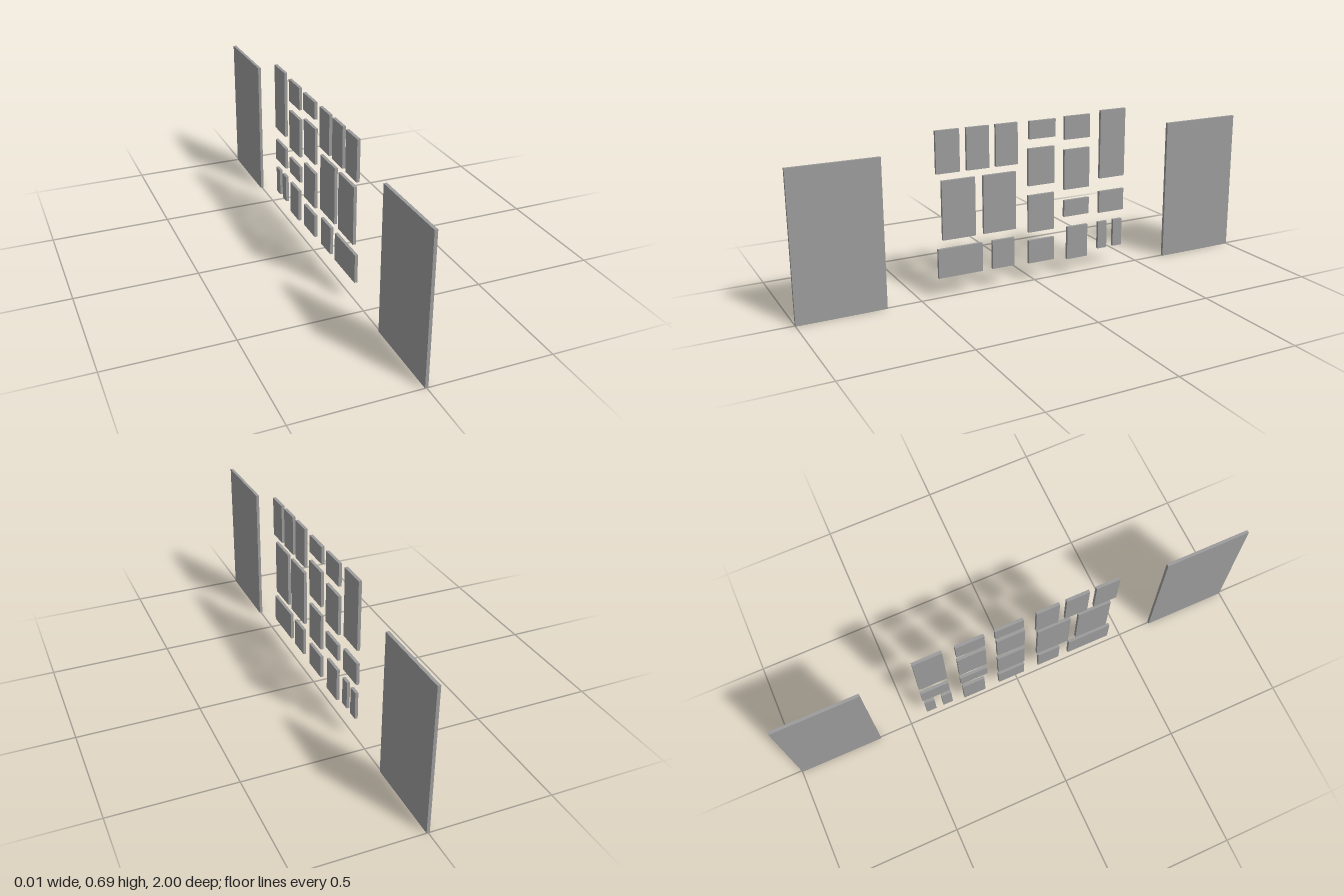
import * as THREE from 'three';

const THICKNESS = 0.0126;

// Each panel: [z min, z max, y min, y max]
const endPanels = [
  [0.643, 1, 0, 0.599],
  [-1, -0.643, 0, 0.599],
];

const clusterColumns = {
  frontColumn: [
    [0.328, 0.427, 0.505, 0.674], [0.203, 0.299, 0.505, 0.674], [0.078, 0.174, 0.505, 0.674],
    [0.265, 0.406, 0.237, 0.476], [0.087, 0.23, 0.237, 0.476],
    [0.237, 0.427, 0.083, 0.202], [0.096, 0.193, 0.083, 0.202],
  ],
  middleColumn: [
    [-0.093, 0.025, 0.599, 0.672], [-0.088, 0.03, 0.407, 0.561],
    [-0.088, 0.03, 0.211, 0.367], [-0.088, 0.03, 0.078, 0.176],
  ],
  innerRearColumn: [
    [-0.254, -0.136, 0.58, 0.676], [-0.254, -0.136, 0.37, 0.538],
    [-0.254, -0.136, 0.254, 0.324], [-0.249, -0.152, 0.066, 0.207],
  ],
  rearColumn: [
    [-0.425, -0.305, 0.397, 0.685], [-0.425, -0.305, 0.247, 0.34],
    [-0.345, -0.302, 0.089, 0.207], [-0.42, -0.377, 0.089, 0.207],
  ],
};

export function createModel() {
  const model = new THREE.Group();
  model.name = 'wallPanels';
  const material = new THREE.MeshStandardMaterial({ color: 0x9b9b9b, flatShading: true });

  const addPanels = (groupName, panelName, panels) => {
    const group = new THREE.Group();
    group.name = groupName;
    panels.forEach(([z0, z1, y0, y1], i) => {
      const panel = new THREE.Mesh(new THREE.BoxGeometry(THICKNESS, y1 - y0, z1 - z0), material);
      panel.position.set(0, (y0 + y1) / 2, (z0 + z1) / 2);
      panel.name = `${panelName}${i + 1}`;
      group.add(panel);
    });
    model.add(group);
  };

  // Tall panels at both ends
  addPanels('endPanels', 'endPanel', endPanels);

  // Cluster of small frames between them
  for (const [name, panels] of Object.entries(clusterColumns)) addPanels(name, 'frame', panels);

  return model;
}
